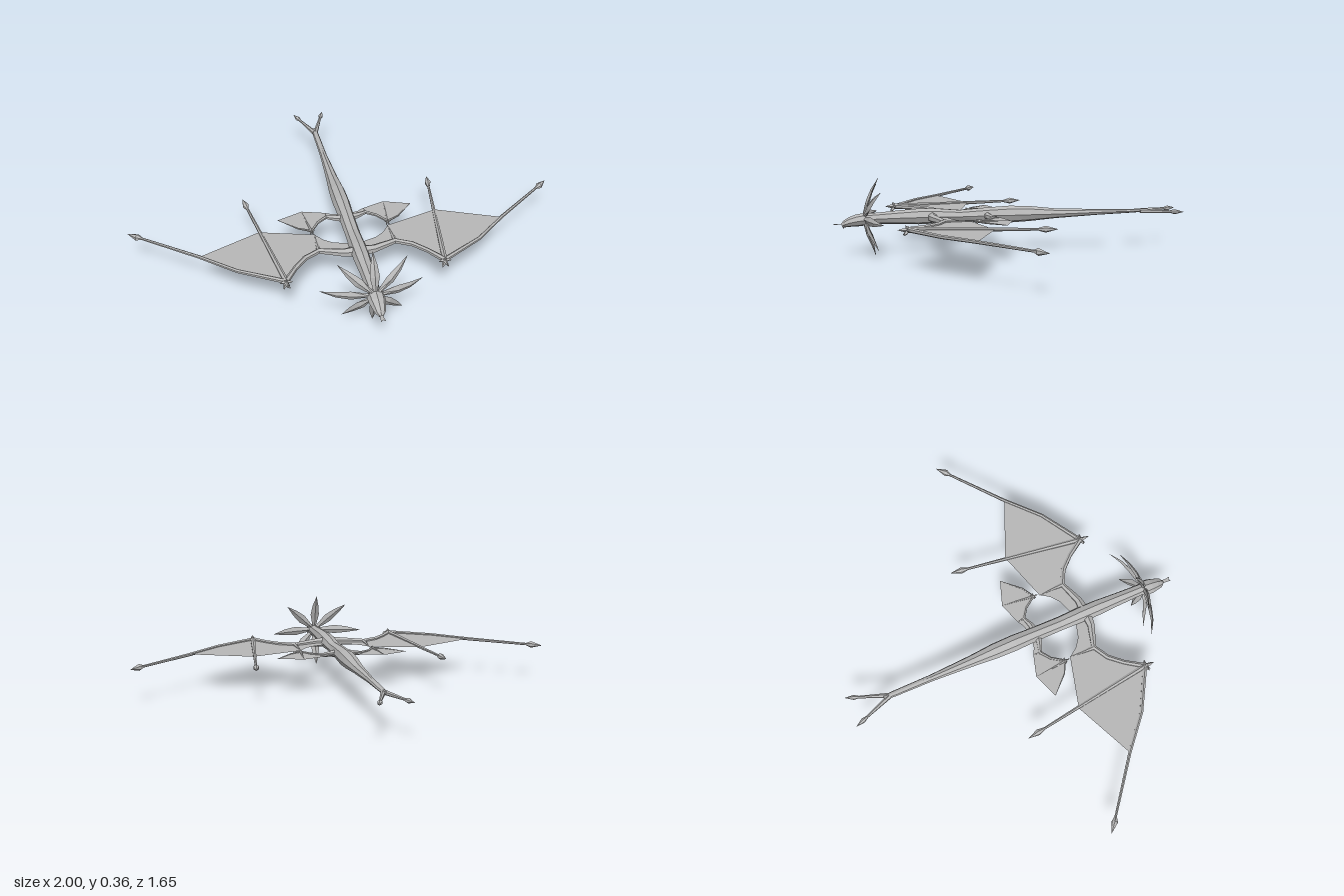
import * as THREE from 'three';

const Y = 0.175; // height of the flat wing plane

export function createModel() {
  const model = new THREE.Group();
  const grey = new THREE.MeshStandardMaterial({ color: 0xb8b8b8, flatShading: true, side: THREE.DoubleSide });
  grey.name = 'grey skin';

  function add(name, geometry, parent = model) {
    const mesh = new THREE.Mesh(geometry, grey);
    mesh.name = name;
    parent.add(mesh);
    return mesh;
  }

  // Closed loft through rows of [x, y, z, half width, half height]
  function loft(rows, sides = 6, up = new THREE.Vector3(0, 1, 0)) {
    const centre = rows.map(r => new THREE.Vector3(r[0], r[1], r[2]));
    const last = rows.length - 1;
    const rings = rows.map((r, i) => {
      const t = centre[Math.min(i + 1, last)].clone().sub(centre[Math.max(i - 1, 0)]).normalize();
      const side = up.clone().cross(t).normalize();
      const top = t.clone().cross(side);
      return Array.from({ length: sides }, (_, j) => {
        const a = Math.PI / 2 + (j / sides) * Math.PI * 2;
        return centre[i].clone().addScaledVector(side, Math.cos(a) * r[3]).addScaledVector(top, Math.sin(a) * r[4]);
      });
    });
    const tris = [];
    for (let j = 0; j < sides; j++) {
      const k = (j + 1) % sides;
      for (let i = 0; i < last; i++) {
        tris.push(rings[i][j], rings[i][k], rings[i + 1][k], rings[i][j], rings[i + 1][k], rings[i + 1][j]);
      }
      tris.push(centre[0], rings[0][k], rings[0][j], centre[last], rings[last][j], rings[last][k]);
    }
    const geometry = new THREE.BufferGeometry().setFromPoints(tris);
    geometry.computeVertexNormals();
    return geometry;
  }

  // Bone in the wing plane from rows of [x, z, radius]
  const bone = (s, rows, sides = 6) => loft(rows.map(([x, z, r]) => [s * x, Y, z, r, r]), sides);

  // Straight finger ending in a spear point
  function spear(s, [x0, z0], [x1, z1], r0, r1, head, width) {
    const len = Math.hypot(x1 - x0, z1 - z0);
    const at = (d, r) => [x0 + (x1 - x0) * d / len, z0 + (z1 - z0) * d / len, r];
    return bone(s, [at(0, r0), at(len - head, r1), at(len - head * 0.62, width), at(len, 0.0008)]);
  }

  // Flat sheet from [x, z] points, lying at height y
  function sheet(s, points, y = Y) {
    const shape = new THREE.Shape(points.map(([x, z]) => new THREE.Vector2(s * x, -z)));
    return new THREE.ShapeGeometry(shape).rotateX(-Math.PI / 2).translate(0, y, 0);
  }

  // Small fan of claws pointing forward
  function claws(s, x, z, size, parent) {
    const fan = [[0, 0, 1], [0.6, 0, 0.2], [-0.6, 0, 0.2], [0.3, -0.5, 0.5], [-0.3, -0.5, 0.5], [0, 0.4, 0.3]];
    fan.forEach(([dx, dy, dz]) => add('claw', loft([
      [s * x, Y, z, size * 0.15, size * 0.15],
      [s * (x + dx * size * 0.5), Y + dy * size * 0.6, z + dz * size * 0.5, size * 0.16, size * 0.16],
      [s * (x + dx * size), Y + dy * size, z + dz * size, 0.0005, 0.0005],
    ], 4), parent));
  }

  // Long body and tail
  add('body', loft([
    [0, 0.178, -0.66, 0.013, 0.007], [0, 0.176, -0.60, 0.015, 0.009], [0, 0.175, -0.42, 0.017, 0.014],
    [0, 0.174, -0.22, 0.028, 0.023], [0, 0.176, -0.10, 0.038, 0.035], [0, 0.176, 0, 0.040, 0.040],
    [0, 0.176, 0.10, 0.036, 0.035], [0, 0.175, 0.24, 0.035, 0.027], [0, 0.177, 0.35, 0.038, 0.035],
    [0, 0.177, 0.43, 0.038, 0.037], [0, 0.176, 0.52, 0.033, 0.032], [0, 0.174, 0.62, 0.029, 0.026],
    [0, 0.172, 0.70, 0.027, 0.024],
  ], 8));

  // Head with a hooked snout, and a flat tongue
  add('head', loft([
    [0, 0.172, 0.66, 0.028, 0.022], [0, 0.170, 0.685, 0.039, 0.029], [0, 0.166, 0.715, 0.037, 0.028],
    [0, 0.160, 0.745, 0.030, 0.023], [0, 0.152, 0.768, 0.023, 0.017], [0, 0.143, 0.782, 0.010, 0.010],
  ], 8));
  add('beakHook', loft([
    [0, 0.155, 0.768, 0.011, 0.009], [0, 0.140, 0.778, 0.006, 0.005], [0, 0.128, 0.774, 0.001, 0.001],
  ], 4, new THREE.Vector3(0, 0, 1)));
  add('tongue', sheet(1, [[-0.008, 0.76], [0.008, 0.76], [0.008, 0.80], [0.011, 0.825], [0, 0.815], [-0.011, 0.825], [-0.008, 0.80]], 0.15));

  // Crown of eight swept-back spikes: [angle in degrees, length, tip z]
  const crown = [[90, 0.185, 0.615], [42, 0.205, 0.615], [138, 0.205, 0.615], [0, 0.228, 0.608],
    [180, 0.228, 0.608], [-44, 0.187, 0.625], [-136, 0.187, 0.625], [-90, 0.175, 0.63]];
  crown.forEach(([deg, len, tipZ]) => {
    const a = deg * Math.PI / 180;
    const row = (d, z, w, h) => [Math.cos(a) * d * len, Y + Math.sin(a) * d * len, z, w, h];
    add('crownSpike', loft([
      row(0.05, 0.68, 0.007, 0.010), row(0.45, 0.662, 0.022, 0.009),
      row(0.72, 0.643, 0.015, 0.006), row(1, tipZ, 0.0005, 0.0005),
    ], 4, new THREE.Vector3(0, 0, 1)));
  });

  for (const s of [1, -1]) {
    const sideName = s > 0 ? 'left' : 'right';

    // Forked tail tip
    add(sideName + 'TailProng', spear(s, [0.003, -0.635], [0.075, -0.825], 0.012, 0.006, 0.065, 0.012));

    // Large front wing
    const wing = new THREE.Group();
    wing.name = sideName + 'FrontWing';
    model.add(wing);
    add('arm', bone(s, [[0.01, 0.37, 0.026], [0.07, 0.367, 0.019], [0.175, 0.332, 0.013], [0.245, 0.370, 0.012],
      [0.30, 0.43, 0.011], [0.355, 0.51, 0.013]]), wing);
    add('longFinger', bone(s, [[0.355, 0.51, 0.011], [0.55, 0.395, 0.009], [0.70, 0.262, 0.008],
      [0.938, 0.074, 0.006], [0.958, 0.060, 0.016], [0.998, 0.025, 0.0008]]), wing);
    add('innerFinger', spear(s, [0.355, 0.51], [0.45, -0.13], 0.013, 0.006, 0.085, 0.015), wing);
    add('elbowSpur', bone(s, [[0.175, 0.335, 0.012], [0.174, 0.27, 0.006], [0.17, 0.21, 0.001]]), wing);
    add('membrane', sheet(s, [[0.175, 0.335], [0.172, 0.21], [0.415, 0.14], [0.70, 0.262], [0.55, 0.395],
      [0.355, 0.51], [0.30, 0.43], [0.245, 0.37]]), wing);
    add('innerMembrane', sheet(s, [[0.172, 0.21], [0.14, 0.255], [0.10, 0.285], [0.02, 0.31], [0.02, 0.385], [0.175, 0.335]]), wing);
    claws(s, 0.355, 0.51, 0.048, wing);

    // Small hind wing
    const hind = new THREE.Group();
    hind.name = sideName + 'HindWing';
    model.add(hind);
    add('leg', bone(s, [[0.01, 0.115, 0.020], [0.05, 0.108, 0.014], [0.095, 0.092, 0.009], [0.14, 0.125, 0.007], [0.178, 0.18, 0.006]]), hind);
    add('outerToe', bone(s, [[0.178, 0.18, 0.006], [0.235, 0.150, 0.004], [0.315, 0.068, 0.001]]), hind);
    add('innerToe', bone(s, [[0.178, 0.18, 0.008], [0.188, 0.10, 0.004], [0.195, 0.028, 0.001]]), hind);
    add('heelSpur', bone(s, [[0.095, 0.095, 0.007], [0.09, 0.058, 0.001]]), hind);
    add('membrane', sheet(s, [[0.02, 0.082], [0.06, 0.075], [0.09, 0.058], [0.195, 0.025], [0.315, 0.068],
      [0.235, 0.152], [0.178, 0.18], [0.14, 0.125], [0.095, 0.095], [0.02, 0.115]]), hind);
    claws(s, 0.178, 0.178, 0.026, hind);
  }
  return model;
}
